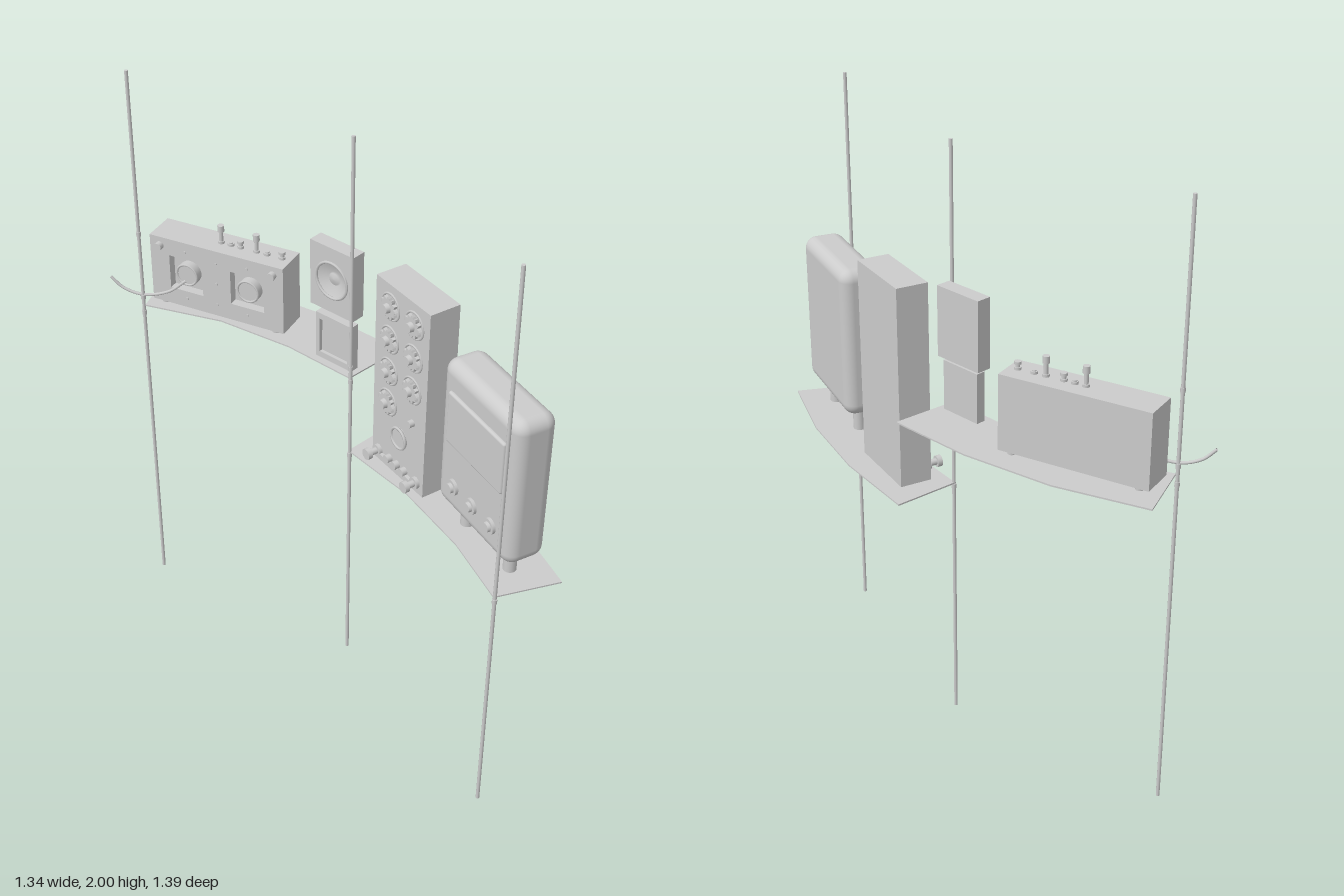
import * as THREE from 'three';
import { RoundedBoxGeometry } from 'three/addons/geometries/RoundedBoxGeometry.js';

const material = new THREE.MeshStandardMaterial({ color: 0xcccccc, side: THREE.DoubleSide });
const rad = THREE.MathUtils.degToRad;

function add(parent, name, geometry, x = 0, y = 0, z = 0) {
  const mesh = new THREE.Mesh(geometry, material);
  mesh.name = name;
  mesh.position.set(x, y, z);
  parent.add(mesh);
  return mesh;
}

// A unit standing on the curve; its local +z is the control side
function unit(parent, name, x, y, z, degrees) {
  const group = new THREE.Group();
  group.name = name;
  group.position.set(x, y, z);
  group.rotation.y = -rad(degrees);
  parent.add(group);
  return group;
}

const box = (w, h, d) => new THREE.BoxGeometry(w, h, d);
const post = (r, h, n = 16) => new THREE.CylinderGeometry(r, r, h, n);
// Cylinder pointing out of a front face, starting at z = 0
const stud = (r, l, n = 16, r2 = r) =>
  new THREE.CylinderGeometry(r2, r, l, n).rotateX(Math.PI / 2).translate(0, 0, l / 2);

function rect(T, w, h, x = 0, y = 0) {
  const p = new T();
  p.moveTo(x - w / 2, y - h / 2);
  p.lineTo(x + w / 2, y - h / 2);
  p.lineTo(x + w / 2, y + h / 2);
  p.lineTo(x - w / 2, y + h / 2);
  p.closePath();
  return p;
}

function plate(w, h, d, holes) {
  const s = rect(THREE.Shape, w, h);
  s.holes.push(...holes);
  return new THREE.ExtrudeGeometry(s, { depth: d, bevelEnabled: false, curveSegments: 16 });
}

function roundHole(r) {
  const p = new THREE.Path();
  p.absarc(0, 0, r, 0, Math.PI * 2, true);
  return p;
}

function shelf(parent, name, points, y) {
  const s = new THREE.Shape(points.map(([x, z]) => new THREE.Vector2(x, z)));
  const g = new THREE.ExtrudeGeometry(s, { depth: 0.005, bevelEnabled: false });
  add(parent, name, g.rotateX(Math.PI / 2), 0, y, 0);
}

// Scalloped dial with a ring and a raised hub
function dial(parent, x, y, z) {
  const s = new THREE.Shape();
  for (let i = 0; i < 48; i++) {
    const a = (i / 48) * Math.PI * 2;
    const r = 0.034 + 0.005 * Math.cos(a * 12);
    s[i ? 'lineTo' : 'moveTo'](r * Math.cos(a), r * Math.sin(a));
  }
  add(parent, 'dialRing', new THREE.TorusGeometry(0.044, 0.004, 6, 28), x, y, z);
  add(parent, 'dialSkirt', new THREE.ExtrudeGeometry(s, { depth: 0.012, bevelEnabled: false }), x, y, z);
  add(parent, 'dialHub', stud(0.018, 0.026, 16, 0.014), x, y, z);
}

// Wide cabinet with two square windows, each holding a round lens
function wideCabinet(root) {
  const g = unit(root, 'wideCabinet', -0.291, 1.294, -0.441, 30);
  const W = 0.488, H = 0.244, front = 0.0575;
  const windows = [-0.113, 0.113];
  add(g, 'cabinetBody', box(W, H, 0.085), 0, 0, -0.015);
  add(g, 'cabinetFront', plate(W, H, 0.03, windows.map((x) => rect(THREE.Path, 0.122, 0.122, x, 0))), 0, 0, front - 0.03);
  for (const x of windows) {
    add(g, 'lens', stud(0.04, 0.026, 24), x, 0, front - 0.03);
    add(g, 'lensRim', new THREE.TorusGeometry(0.037, 0.004, 6, 24), x, 0, front - 0.004);
    for (const y of [-0.088, 0.088]) add(g, 'screw', stud(0.005, 0.004, 8), x, y, front);
  }
  for (const y of [-0.08, 0, 0.075]) add(g, 'screw', stud(0.005, 0.004, 8), 0, y, front);
  for (const x of [-0.207, 0.207]) {
    add(g, 'cornerKnob', stud(0.014, 0.018), x, 0.091, front);
    for (const z of [-0.04, 0.04]) add(g, 'cabinetFoot', post(0.012, 0.014), x, -H / 2 - 0.005, z);
  }
  // Row of plugs and switches on top
  const plugs = [[-0.009, 0.064], [0.027, 0.012], [0.062, 0.026], [0.12, 0.064], [0.158, 0.012], [0.212, 0.026]];
  for (const [x, h] of plugs) {
    add(g, 'plugStem', post(0.007, h, 10), x, H / 2 + h / 2, 0);
    add(g, 'plugBase', post(0.011, 0.008, 12), x, H / 2 + 0.004, 0);
    if (h > 0.02) add(g, 'plugHead', post(0.011, h * 0.35, 12), x, H / 2 + h * 0.83, 0);
  }
}

// Small square speaker above a display box
function smallBoxes(root) {
  const s = unit(root, 'speaker', 0.053, 1.4615, -0.14, 45);
  add(s, 'speakerBody', box(0.174, 0.229, 0.03), 0, 0, -0.01);
  add(s, 'speakerFront', plate(0.174, 0.229, 0.02, [roundHole(0.062)]), 0, 0, 0.005);
  add(s, 'speakerRing', new THREE.TorusGeometry(0.062, 0.005, 6, 32), 0, -0.015 + 0.015, 0.025);
  const cone = [[0.001, 0.012], [0.02, 0.01], [0.024, 0.004], [0.06, 0.019]].map((p) => new THREE.Vector2(...p));
  add(s, 'speakerCone', new THREE.LatheGeometry(cone, 32).rotateX(Math.PI / 2), 0, 0, 0.003);

  const d = unit(root, 'displayBox', 0.053, 1.244, -0.1225, 45);
  add(d, 'displayBody', box(0.146, 0.166, 0.02), 0, 0, -0.006);
  add(d, 'displayFrame', plate(0.146, 0.166, 0.012, [rect(THREE.Path, 0.115, 0.122)]), 0, 0, 0.004);
}

// Tall cabinet with dials and connectors
function tower(root) {
  const g = unit(root, 'tower', 0.277, 1.2115, 0.079, 60);
  const front = 0.0535, at = (y) => y - 1.2115;
  add(g, 'towerBody', box(0.27, 0.677, 0.107));
  [1.475, 1.358, 1.241, 1.125].forEach((y, i) => {
    dial(g, -0.06, at(y), front);
    if (i < 3) dial(g, 0.06, at(y), front);
  });
  add(g, 'smallKnob', stud(0.012, 0.018), 0.07, at(1.125), front);
  add(g, 'gauge', stud(0.036, 0.008, 28), 0.01, at(1.03), front);
  add(g, 'gaugeRim', new THREE.TorusGeometry(0.036, 0.005, 6, 28), 0.01, at(1.03), front + 0.008);
  for (const x of [-0.1, 0.1]) {
    add(g, 'connectorBase', stud(0.02, 0.012), x, at(0.913), front);
    add(g, 'connectorStem', stud(0.011, 0.05), x, at(0.913), front);
    add(g, 'connectorCap', stud(0.019, 0.016), x, at(0.913), front + 0.036);
  }
  for (const x of [-0.04, 0, 0.04]) add(g, 'socket', stud(0.014, 0.018), x, at(0.918), front);
  add(g, 'connectorBar', box(0.19, 0.012, 0.012), 0, at(0.905), front + 0.006);
}

// Rounded receiver on two legs
function receiver(root) {
  const g = unit(root, 'receiver', 0.471, 1.2125, 0.456, 65);
  const front = 0.0685;
  add(g, 'receiverBody', new RoundedBoxGeometry(0.393, 0.515, 0.137, 4, 0.04));
  add(g, 'receiverPanel', new RoundedBoxGeometry(0.29, 0.18, 0.02, 2, 0.008), 0, 0.08, front);
  for (const x of [-0.1, 0, 0.1]) {
    add(g, 'receiverKnob', stud(0.026, 0.012, 20), x, -0.157, front - 0.002);
    add(g, 'receiverKnobCap', stud(0.018, 0.022, 20, 0.015), x, -0.157, front - 0.002);
  }
  for (const x of [-0.117, 0.117]) add(g, 'receiverLeg', post(0.021, 0.1), x, -0.29, 0);
}

export function createModel() {
  const root = new THREE.Group();
  root.name = 'shelvedEquipment';

  // Upright poles with small collars beside the shelves
  for (const [x, z, ys] of [[-0.565, -0.492, [1.13, 1.19, 1.43]], [0.09, -0.026, [0.86, 1.15, 1.2]], [0.459, 0.686, [0.86]]]) {
    add(root, 'pole', post(0.006, 2, 10), x, 1, z);
    for (const y of ys) add(root, 'poleCollar', post(0.008, 0.016, 10), x, y, z);
  }

  // Curved shelves, outer edge then inner edge
  shelf(root, 'upperShelf', [
    [-0.478, -0.693], [-0.202, -0.56], [0.05, -0.377], [0.257, -0.175],
    [0.087, -0.03], [-0.095, -0.215], [-0.31, -0.377], [-0.56, -0.487]], 1.162);
  shelf(root, 'lowerShelf', [
    [0.257, -0.175], [0.434, 0.08], [0.57, 0.347], [0.665, 0.63],
    [0.456, 0.682], [0.375, 0.445], [0.252, 0.2], [0.087, -0.03]], 0.874);

  wideCabinet(root);
  smallBoxes(root);
  tower(root);
  receiver(root);

  // Loose cable from the wide cabinet
  const path = [[-0.42, 1.27, -0.455], [-0.48, 1.22, -0.472], [-0.566, 1.2, -0.492], [-0.63, 1.22, -0.508], [-0.668, 1.257, -0.518]];
  const curve = new THREE.CatmullRomCurve3(path.map((p) => new THREE.Vector3(...p)));
  add(root, 'cable', new THREE.TubeGeometry(curve, 24, 0.005, 8));
  return root;
}
